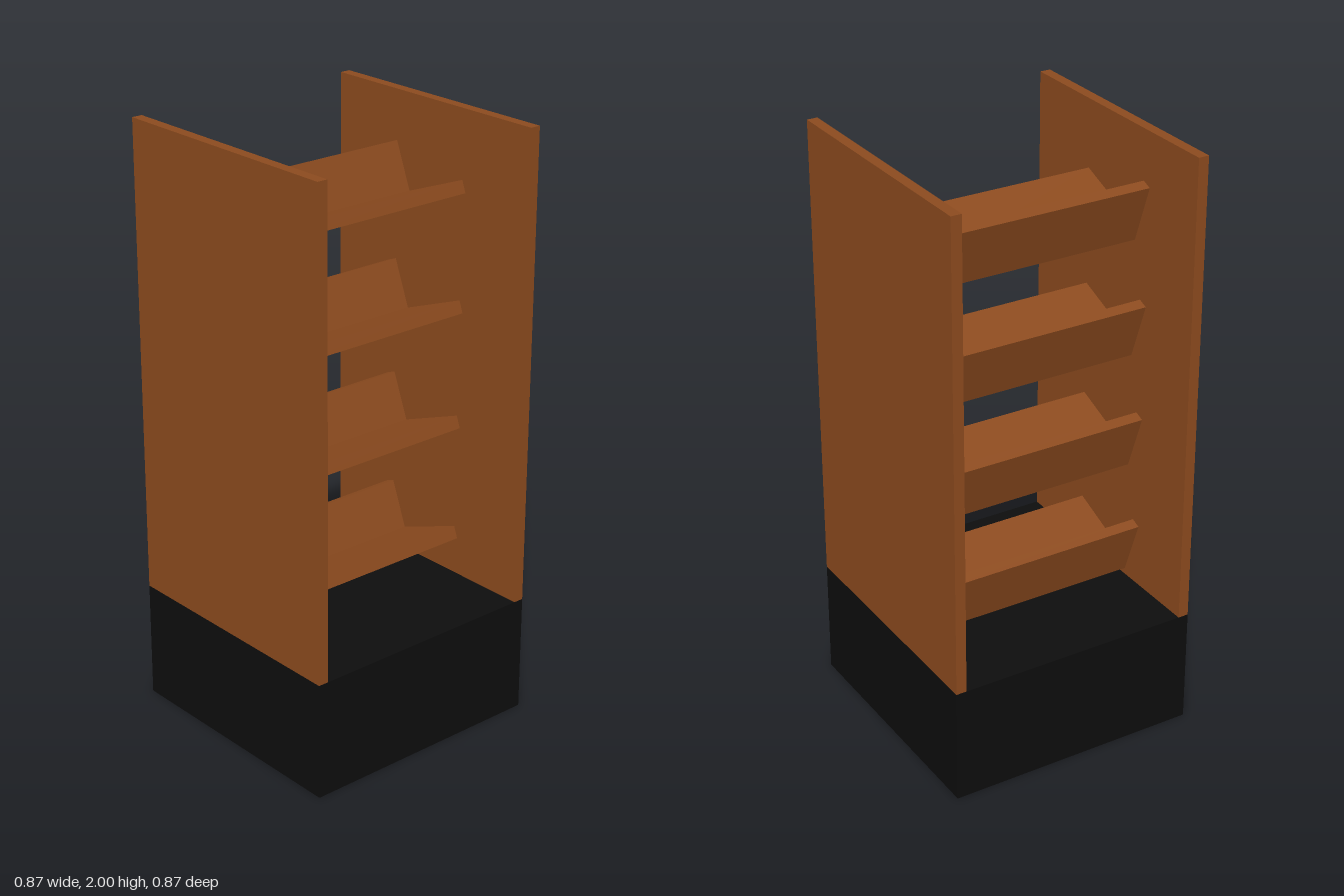
import * as THREE from 'three';

export function createModel() {
  const model = new THREE.Group();
  model.name = 'displayRack';

  const wood = new THREE.MeshStandardMaterial({ color: 0x8b4a1e });
  wood.name = 'brown wood';
  const black = new THREE.MeshStandardMaterial({ color: 0x0d0d0d });
  black.name = 'black base';

  const WIDTH = 0.873, BASE_HEIGHT = 0.4, HEIGHT = 2, PANEL = 0.036;
  const INNER = WIDTH - 2 * PANEL;

  const addBox = (name, w, h, d, y, z, material) => {
    const mesh = new THREE.Mesh(new THREE.BoxGeometry(w, h, d), material);
    mesh.name = name;
    mesh.position.set(0, y, z);
    model.add(mesh);
  };

  // Solid plinth
  addBox('base', WIDTH, BASE_HEIGHT, WIDTH, BASE_HEIGHT / 2, 0, black);

  // Upright panels at front and back
  for (const [name, side] of [['frontPanel', 1], ['backPanel', -1]]) {
    addBox(name, WIDTH, HEIGHT - BASE_HEIGHT, PANEL,
      (HEIGHT + BASE_HEIGHT) / 2, side * (WIDTH - PANEL) / 2, wood);
  }

  // Tilted L-shaped tray: sloping floor with a back rest, spanning the panels
  const profile = new THREE.Shape([
    [-0.122, 0.422], [0.16, 0.53], [0.145, 0.57],
    [-0.098, 0.477], [-0.16, 0.632], [-0.193, 0.619],
  ].map(([x, y]) => new THREE.Vector2(x, y)));
  const trayGeometry = new THREE.ExtrudeGeometry(profile, { depth: INNER, bevelEnabled: false });
  trayGeometry.translate(0, 0, -INNER / 2);

  for (let i = 0; i < 4; i++) {
    const tray = new THREE.Mesh(trayGeometry, wood);
    tray.name = `shelf${i + 1}`;
    tray.position.y = i * 0.4;
    model.add(tray);
  }

  return model;
}
